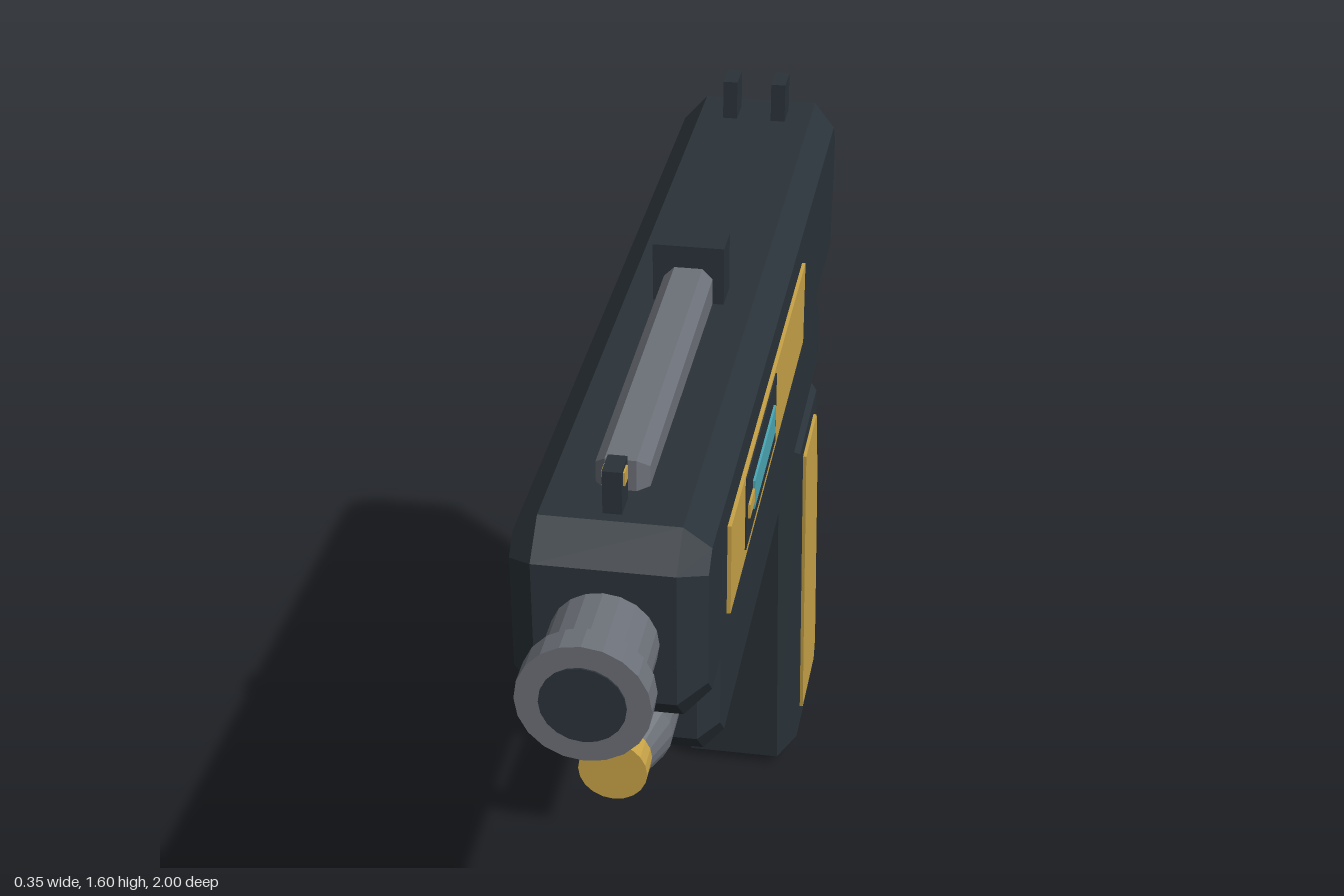
import * as THREE from 'three';

const mat = (name, color) => {
  const m = new THREE.MeshStandardMaterial({ color });
  m.name = name;
  return m;
};

export function createModel() {
  const dark = mat('dark slate', 0x2a3339);
  const steel = mat('grey steel', 0x6c7078);
  const gold = mat('gold', 0xc8a347);
  const cyan = mat('cyan', 0x4ba7b5);
  const group = new THREE.Group();
  const CX = 0.008; // centre plane of the body

  function add(name, geo, material) {
    const mesh = new THREE.Mesh(geo, material);
    mesh.name = name;
    group.add(mesh);
    return mesh;
  }

  // Side profile of [z, y] points, extruded across x with chamfered edges
  function profile(name, pts, width, bevel, material, x = CX) {
    const shape = new THREE.Shape(pts.map(([z, y]) => new THREE.Vector2(-z, y)));
    const depth = width - 2 * bevel;
    const geo = new THREE.ExtrudeGeometry(shape, {
      depth, bevelEnabled: bevel > 0, bevelThickness: bevel,
      bevelSize: bevel, bevelOffset: -bevel, bevelSegments: 1,
    });
    geo.translate(0, 0, -depth / 2).rotateY(Math.PI / 2).translate(x, 0, 0);
    return add(name, geo, material);
  }

  // Box given by its extents
  function box(name, x0, x1, y0, y1, z0, z1, material) {
    const geo = new THREE.BoxGeometry(x1 - x0, y1 - y0, z1 - z0);
    geo.translate((x0 + x1) / 2, (y0 + y1) / 2, (z0 + z1) / 2);
    return add(name, geo, material);
  }

  // Faceted round part along z: z0 with radius r0 to z1 with radius r1
  function round(name, y, z0, r0, z1, r1, material) {
    const geo = new THREE.CylinderGeometry(r1, r0, z1 - z0, 20).toNonIndexed();
    geo.rotateX(Math.PI / 2).translate(CX, y, (z0 + z1) / 2);
    geo.computeVertexNormals();
    return add(name, geo, material);
  }

  // Main bodies
  profile('slide', [[0.77, 1.5], [0.83, 1.45], [0.83, 1.215], [0.765, 1.15],
    [-0.89, 1.15], [-0.92, 1.43], [-0.86, 1.5]], 0.306, 0.042, dark);
  profile('frame', [[0.58, 1.147], [0.58, 0.96], [0.51, 0.89], [-0.85, 0.89],
    [-0.885, 1.04], [-0.77, 1.147]], 0.272, 0.034, dark);
  // Thin core closing the gap between slide and frame
  box('slideRail', CX - 0.09, CX + 0.09, 1.13, 1.17, -0.74, 0.55, dark);
  profile('grip', [[-0.488, 0.905], [-0.597, 0.022], [-0.94, 0.002], [-1, 0.1],
    [-0.885, 0.7], [-0.842, 0.905]], 0.278, 0.04, dark);

  // Panels on both sides
  for (const s of [-1, 1]) {
    profile('gripPanel', [[-0.585, 0.83], [-0.68, 0.11], [-0.89, 0.098],
      [-0.907, 0.14], [-0.822, 0.66], [-0.766, 0.83]], 0.009, 0, gold, CX + s * 0.1415);
    const x = CX + s * 0.155;
    box('slidePanel', x - 0.0045, x + 0.0045, 1.235, 1.4, -0.335, 0.6, gold);
  }

  // Display on the left side
  box('displayPlate', 0.163, 0.17, 1.258, 1.394, 0.085, 0.445, dark);
  box('displayBar', 0.166, 0.174, 1.296, 1.35, 0.12, 0.377, cyan);
  box('displayTip', 0.166, 0.174, 1.31, 1.336, 0.377, 0.43, gold);

  // Knob on the right side
  for (const [name, r, x0, x1, m] of [['knob', 0.055, -0.173, -0.13, dark],
    ['knobCap', 0.036, -0.179, -0.17, gold]]) {
    const geo = new THREE.CylinderGeometry(r, r, x1 - x0, 12).toNonIndexed();
    geo.rotateZ(Math.PI / 2).translate((x0 + x1) / 2, 1.315, -0.435);
    geo.computeVertexNormals();
    add(name, geo, m);
  }

  // Muzzle and bore
  round('barrel', 1.325, 0.78, 0.085, 0.935, 0.085, steel);
  round('muzzleCollar', 1.325, 0.935, 0.085, 0.95, 0.103, steel);
  round('muzzleRing', 1.325, 0.95, 0.103, 0.997, 0.103, steel);
  round('bore', 1.325, 0.992, 0.066, 1, 0.066, dark);

  // Lower rod
  round('rod', 1.042, 0.54, 0.078, 0.68, 0.078, steel);
  round('rodTaper', 1.042, 0.68, 0.078, 0.745, 0.056, steel);
  round('rodTip', 1.042, 0.745, 0.056, 0.79, 0.056, gold);

  // Top rail and sights
  profile('topRail', [[0.68, 1.48], [0.68, 1.553], [0, 1.566], [0, 1.48]],
    0.085, 0.018, steel);
  box('middleSight', CX - 0.062, CX + 0.062, 1.49, 1.605, -0.015, 0.05, dark);
  box('frontSight', CX - 0.015, CX + 0.015, 1.49, 1.573, 0.7, 0.75, dark);
  box('frontSightDot', CX - 0.018, CX + 0.018, 1.543, 1.566, 0.714, 0.738, gold);
  for (const s of [-1, 1]) {
    const x = CX + s * 0.048;
    box('rearSight', x - 0.014, x + 0.014, 1.49, 1.576, -0.82, -0.755, dark);
  }

  // Trigger and its guard
  profile('triggerGuard', [[-0.015, 0.91], [-0.015, 0.735], [-0.06, 0.6],
    [-0.48, 0.6], [-0.56, 0.665], [-0.54, 0.7], [-0.465, 0.64], [-0.08, 0.64],
    [-0.052, 0.735], [-0.052, 0.91]], 0.094, 0, dark);
  profile('trigger', [[-0.305, 0.91], [-0.275, 0.745], [-0.325, 0.655],
    [-0.382, 0.645], [-0.345, 0.765], [-0.395, 0.91]], 0.06, 0, steel);

  return group;
}
